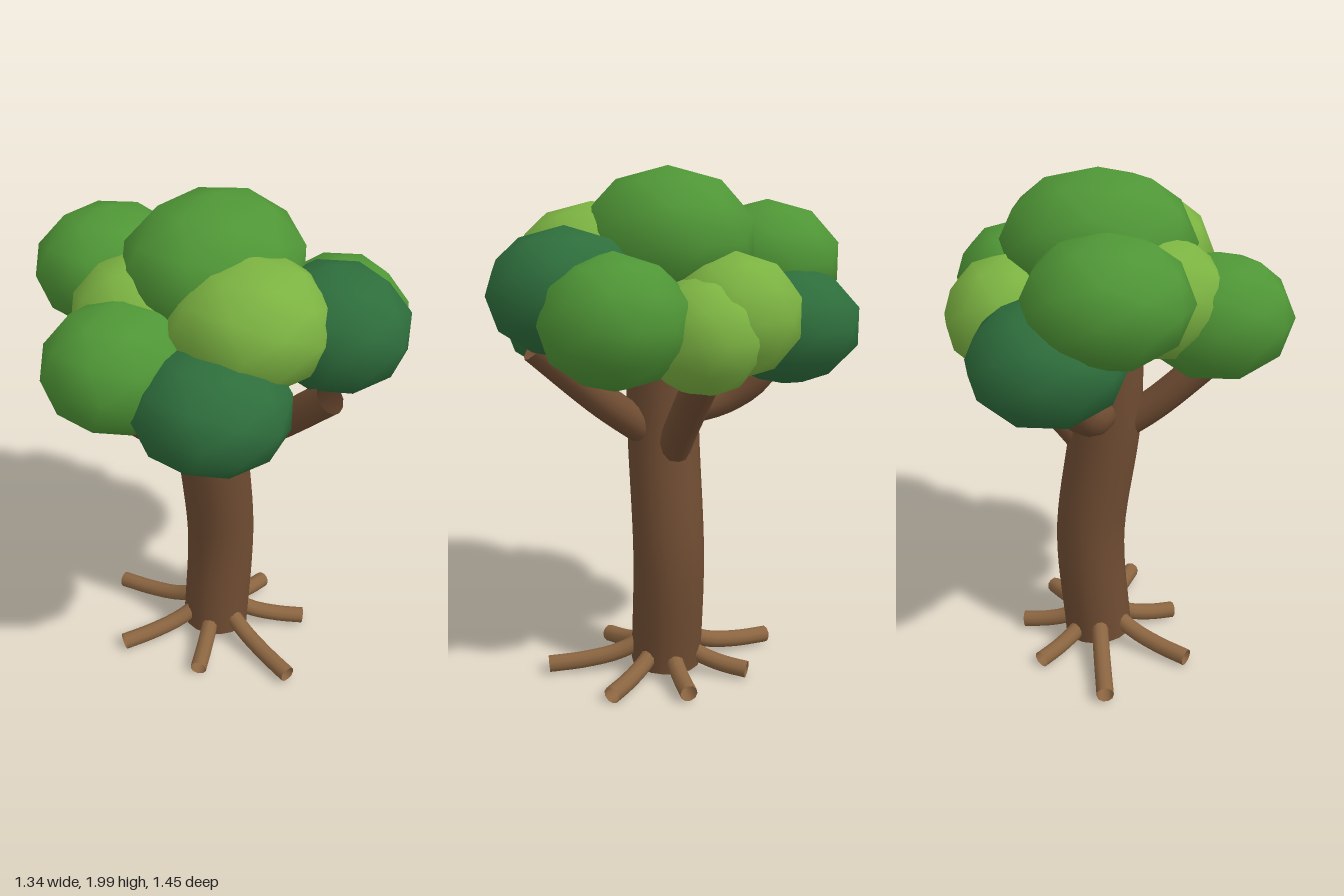
import * as THREE from 'three';

const mat = (color, side = THREE.FrontSide) => new THREE.MeshStandardMaterial({ color, side });
const bark = mat(0x6f4c32, THREE.DoubleSide);
const rootBark = mat(0x8b6541, THREE.DoubleSide);
const green = mat(0x4f9636);
const lightGreen = mat(0x7cb342);
const darkGreen = mat(0x2e6e3c);

// Round tube along a smooth path of [x, y, z] points
function tube(name, points, radius, material, steps = 12, sides = 12) {
  const curve = new THREE.CatmullRomCurve3(points.map((p) => new THREE.Vector3(...p)));
  const mesh = new THREE.Mesh(new THREE.TubeGeometry(curve, steps, radius, sides), material);
  mesh.name = name;
  return mesh;
}

export function createModel() {
  const tree = new THREE.Group();
  tree.name = 'tree';

  // Curved trunk
  tree.add(tube('trunk', [
    [0.07, 0.045, 0.015], [0.1, 0.5, 0.015], [0.035, 1.03, 0.015], [0.03, 1.5, 0.015],
  ], 0.14, bark, 24, 16));

  // Branches reaching into the crown
  const branches = {
    frontBranch: [[0.065, 0.97, 0.04], [0.065, 1.13, 0.26], [0.065, 1.36, 0.52]],
    backBranch: [[0.04, 1.07, -0.05], [0.07, 1.11, -0.22], [0.12, 1.2, -0.34], [0.16, 1.38, -0.42]],
    leftBranch: [[0.08, 0.87, 0.01], [0.21, 1.03, 0.01], [0.48, 1.32, 0.01]],
    rightBranch: [[-0.02, 0.99, 0.01], [-0.16, 1.09, 0.01], [-0.4, 1.31, 0.01]],
  };
  for (const [name, path] of Object.entries(branches)) tree.add(tube(name, path, 0.065, bark));

  // Roots spreading over the ground, given by their end points
  const rootEnds = [
    [0.39, 0.04], [0.3, 0.32], [-0.04, 0.475], [-0.24, 0.16],
    [-0.31, -0.19], [0.0, -0.46], [0.28, -0.25],
  ];
  const roots = new THREE.Group();
  roots.name = 'roots';
  for (const [x, z] of rootEnds) {
    const at = (t, y) => [0.07 + (x - 0.07) * t, y, 0.015 + (z - 0.015) * t];
    roots.add(tube('root', [at(0.12, 0.15), at(0.4, 0.085), at(0.7, 0.055), at(1, 0.043)], 0.034, rootBark, 10, 10));
  }
  tree.add(roots);

  // Crown of faceted-outline, smooth-shaded leaf clumps: material, centre, radii
  const clumps = [
    [green, [0.06, 1.73, 0.005], [0.37, 0.27, 0.33]],
    [green, [-0.01, 1.635, -0.435], [0.3, 0.235, 0.29]],
    [darkGreen, [0.2, 1.41, -0.42], [0.29, 0.23, 0.29]],
    [green, [-0.38, 1.48, -0.08], [0.29, 0.24, 0.27]],
    [darkGreen, [-0.3, 1.4, 0.27], [0.29, 0.23, 0.29]],
    [lightGreen, [-0.07, 1.63, 0.26], [0.3, 0.24, 0.3]],
    [darkGreen, [0.195, 1.565, 0.44], [0.265, 0.235, 0.285]],
    [green, [0.41, 1.485, 0.33], [0.26, 0.24, 0.27]],
    [lightGreen, [0.38, 1.48, -0.13], [0.24, 0.23, 0.25]],
    [lightGreen, [0.4, 1.42, 0], [0.25, 0.22, 0.22]],
    [lightGreen, [-0.15, 1.57, -0.16], [0.28, 0.23, 0.26]],
  ];
  const ball = new THREE.IcosahedronGeometry(1, 1);
  const crown = new THREE.Group();
  crown.name = 'crown';
  for (const [material, centre, radii] of clumps) {
    const clump = new THREE.Mesh(ball, material);
    clump.name = 'leafClump';
    clump.position.set(...centre);
    clump.scale.set(...radii);
    crown.add(clump);
  }
  tree.add(crown);

  return tree;
}
